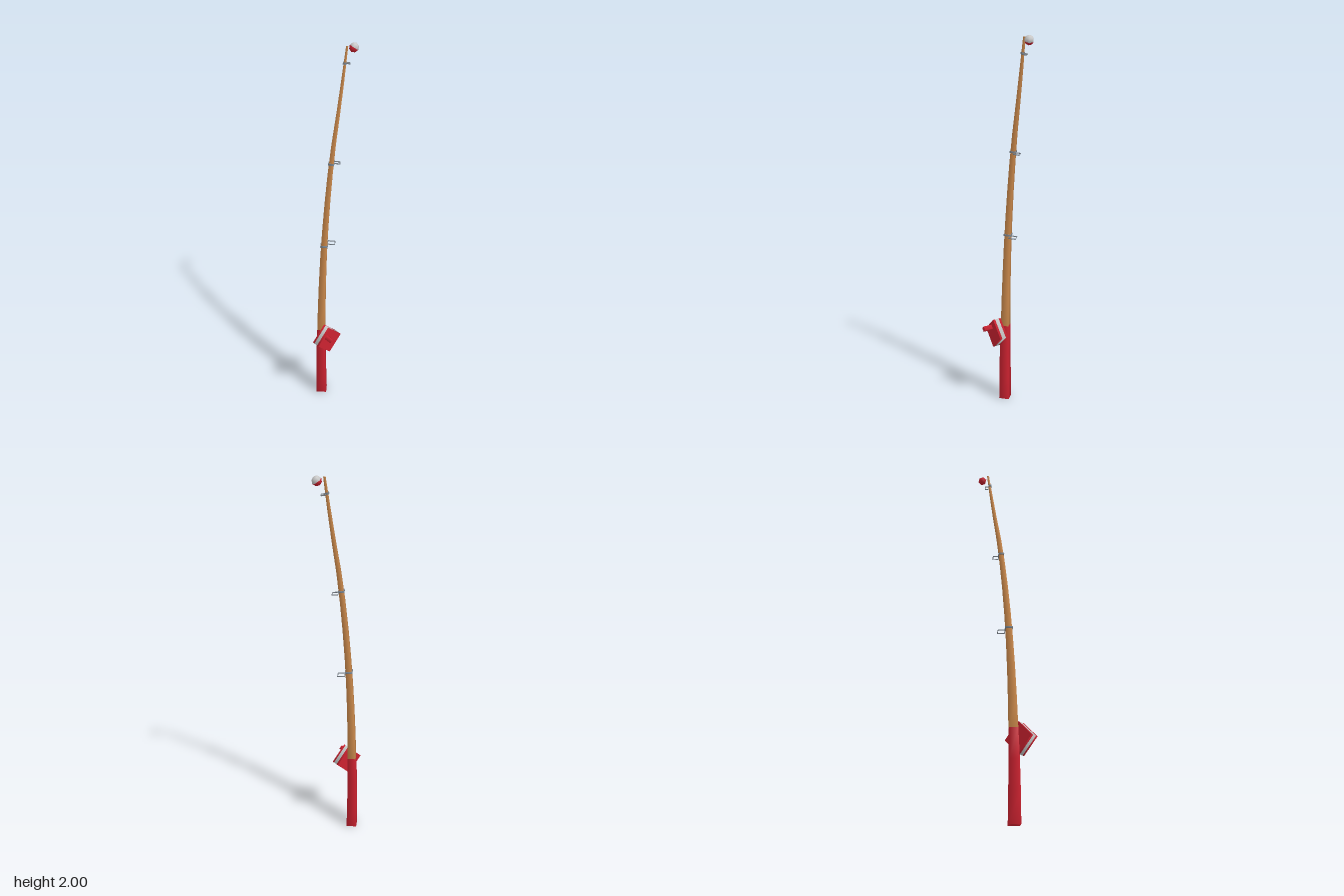
import * as THREE from 'three';
import { mergeVertices } from 'three/addons/utils/BufferGeometryUtils.js';

const ROD_X = -0.043;
const mat = (color) => new THREE.MeshStandardMaterial({ color, side: THREE.DoubleSide });
const red = mat(0xcc2230), wood = mat(0xcc8a4c), steel = mat(0x808890), white = mat(0xcccccc);

// Bent centre line and taper of the rod: [y, z, radius]
const spine = [
  [0, 0.083, 0.039], [0.22, 0.084, 0.036], [0.45, 0.079, 0.03], [0.98, 0.052, 0.022],
  [1.43, 0.001, 0.017], [1.91, -0.082, 0.009], [1.99, -0.098, 0.007],
];
const line = new THREE.CatmullRomCurve3(spine.map(([y, z]) => new THREE.Vector3(ROD_X, y, z)));
function rodAt(y) {
  let i = 0;
  while (i < spine.length - 2 && y > spine[i + 1][0]) i++;
  const a = spine[i], b = spine[i + 1];
  const t = (y - a[0]) / (b[0] - a[0]);
  const u = (i + t) / (spine.length - 1);
  const p = line.getPoint(u), d = line.getTangent(u);
  return { z: p.z, r: a[2] + (b[2] - a[2]) * t, tilt: Math.atan2(d.z, d.y) };
}

function add(parent, name, geometry, material) {
  const mesh = new THREE.Mesh(geometry, material);
  mesh.name = name;
  parent.add(mesh);
  return mesh;
}

// Four-sided bar bent along the spine, with soft shared normals
function rodPiece(y0, y1, rings) {
  let g = new THREE.CylinderGeometry(1, 1, 1, 4, rings);
  g.deleteAttribute('uv');
  g.deleteAttribute('normal');
  const p = g.attributes.position;
  for (let i = 0; i < p.count; i++) {
    const y = y0 + (p.getY(i) + 0.5) * (y1 - y0);
    const { z, r } = rodAt(y);
    p.setXYZ(i, ROD_X + p.getX(i) * r, y, z + p.getZ(i) * r);
  }
  g = mergeVertices(g, 1e-5);
  g.computeVertexNormals();
  return g;
}

// Four-sided disc along x
function sideDisc(parent, name, r, x0, x1, y, z, material) {
  const m = add(parent, name, new THREE.CylinderGeometry(r, r, x1 - x0, 4), material);
  m.rotation.z = -Math.PI / 2;
  m.position.set((x0 + x1) / 2, y, z);
}

export function createModel() {
  const group = new THREE.Group();
  group.name = 'fishingRod';

  add(group, 'grip', rodPiece(0, 0.45, 3), red);
  add(group, 'pole', rodPiece(0.45, 1.99, 10), wood);

  // Reel: red cheeks, pale spool and crank
  const reel = new THREE.Group();
  reel.name = 'reel';
  group.add(reel);
  sideDisc(reel, 'innerCheek', 0.081, -0.014, -0.002, 0.412, 0.084, red);
  sideDisc(reel, 'spool', 0.081, -0.002, 0.02, 0.412, 0.084, white);
  sideDisc(reel, 'outerCheek', 0.081, 0.02, 0.032, 0.412, 0.084, red);
  sideDisc(reel, 'crank', 0.016, 0.03, 0.08, 0.44, 0.104, red);

  // Line guides: a binding round the pole and a ring behind it
  for (const [y, bind, ring] of [[0.98, 0.027, 0.026], [1.43, 0.021, 0.021], [1.915, 0.012, 0.014]]) {
    const { z, tilt } = rodAt(y);
    const guide = new THREE.Group();
    guide.name = 'lineGuide';
    guide.position.set(ROD_X, y, z);
    guide.rotation.x = tilt;
    group.add(guide);
    add(guide, 'binding', new THREE.CylinderGeometry(bind, bind, 0.01, 4), steel);
    const eye = add(guide, 'eye', new THREE.TorusGeometry(ring, 0.003, 4, 4), steel);
    eye.rotation.x = Math.PI / 2;
    eye.position.z = -(bind + ring - 0.004);
  }

  // Two-tone float hanging behind the tip
  const float = new THREE.Group();
  float.name = 'float';
  float.position.set(ROD_X, 1.977, -0.141);
  float.quaternion.setFromUnitVectors(
    new THREE.Vector3(0, 1, 0), new THREE.Vector3(0.2, 0.8, -0.5).normalize());
  group.add(float);
  add(float, 'floatTop', new THREE.SphereGeometry(0.024, 6, 2, 0, Math.PI * 2, 0, Math.PI / 2), white);
  add(float, 'floatBottom', new THREE.SphereGeometry(0.024, 6, 2, 0, Math.PI * 2, Math.PI / 2, Math.PI / 2), red);

  return group;
}
